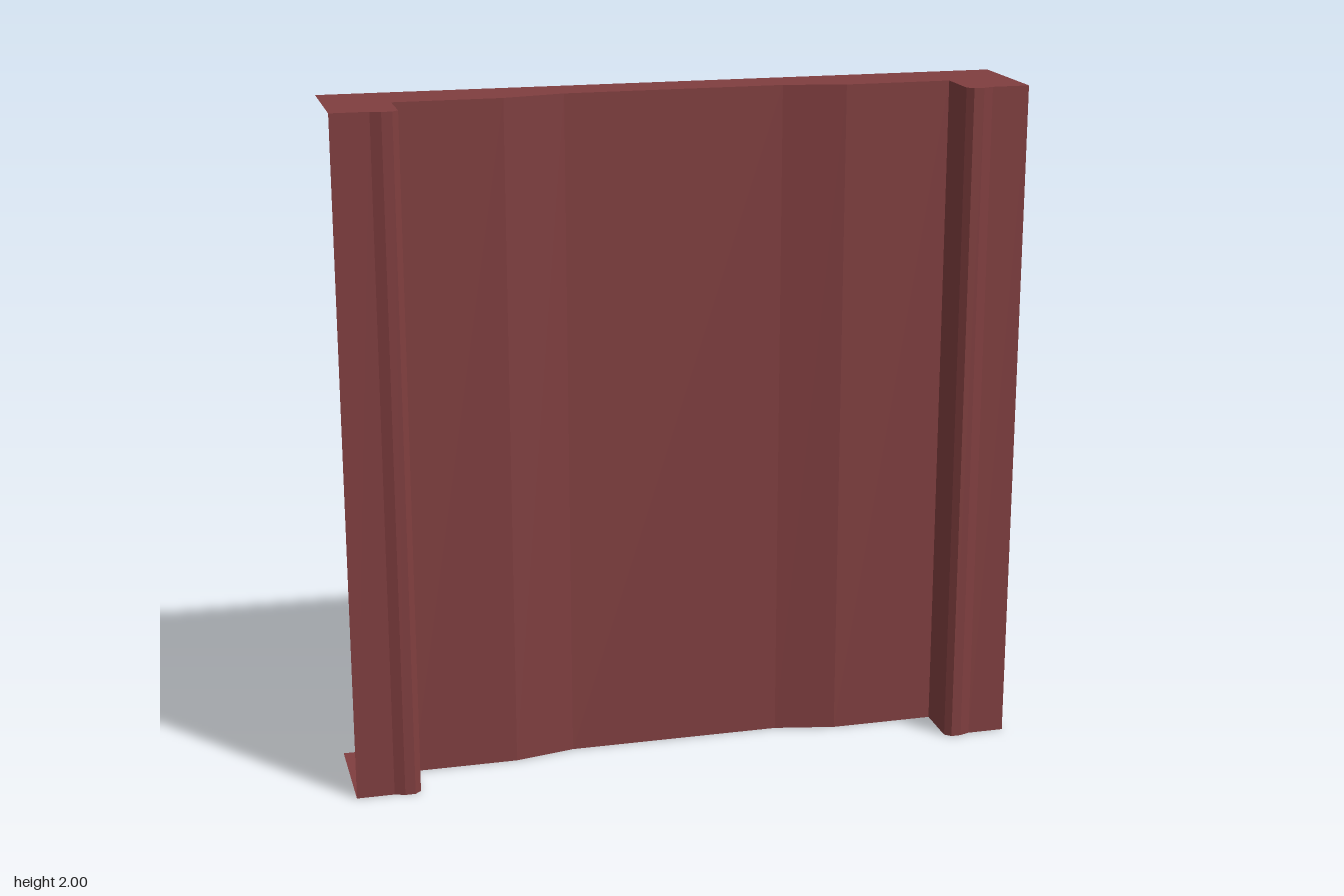
import * as THREE from 'three';

const HEIGHT = 2;
const BACK = -0.17;

// Left half of the wall's plan outline as [x, z], from the outer edge inwards
const half = [
  [-1, 0.155], [-0.89, 0.155], [-0.86, 0.166], [-0.83, 0.166], [-0.812, 0.15],
  [-0.812, 0.01], [-0.5, 0.01], [-0.32, -0.028],
];
const profile = [...half, ...half.map(([x, z]) => [-x, z]).reverse()];

// Sheet that follows the points [x, z] and rises over the full height
function wallSheet(points) {
  const plane = new THREE.PlaneGeometry(1, HEIGHT, points.length - 1, 1);
  const pos = plane.attributes.position;
  for (let i = 0; i < pos.count; i++) {
    const [x, z] = points[i % points.length];
    pos.setXYZ(i, x, pos.getY(i) + HEIGHT / 2, z);
  }
  const sheet = plane.toNonIndexed();
  sheet.computeVertexNormals();
  return sheet;
}

export function createModel() {
  const group = new THREE.Group();
  group.name = 'wallPanel';
  const material = new THREE.MeshStandardMaterial({
    color: 0x803e3f, side: THREE.DoubleSide, flatShading: true,
  });
  const add = (name, geometry) => {
    const mesh = new THREE.Mesh(geometry, material);
    mesh.name = name;
    group.add(mesh);
    return mesh;
  };

  // Side posts and the recessed panel between them
  const post = half.slice(0, 6);
  add('rightPost', wallSheet(post));
  add('leftPost', wallSheet(post.map(([x, z]) => [-x, z]).reverse()));
  add('recessedPanel', wallSheet(profile.slice(5, -5)));

  // Flat top and bottom plates reaching to the back
  const outline = new THREE.Shape(
    [[-1, BACK], [1, BACK], ...[...profile].reverse()].map(([x, z]) => new THREE.Vector2(x, z)),
  );
  const bottom = new THREE.ShapeGeometry(outline).rotateX(Math.PI / 2);
  add('bottomPlate', bottom);

  // Same outline turned over so that it faces up
  const top = new THREE.ShapeGeometry(outline).rotateX(Math.PI / 2);
  const index = top.index.array;
  for (let i = 0; i < index.length; i += 3) [index[i], index[i + 1]] = [index[i + 1], index[i]];
  top.computeVertexNormals();
  add('topPlate', top).position.y = HEIGHT;

  return group;
}
